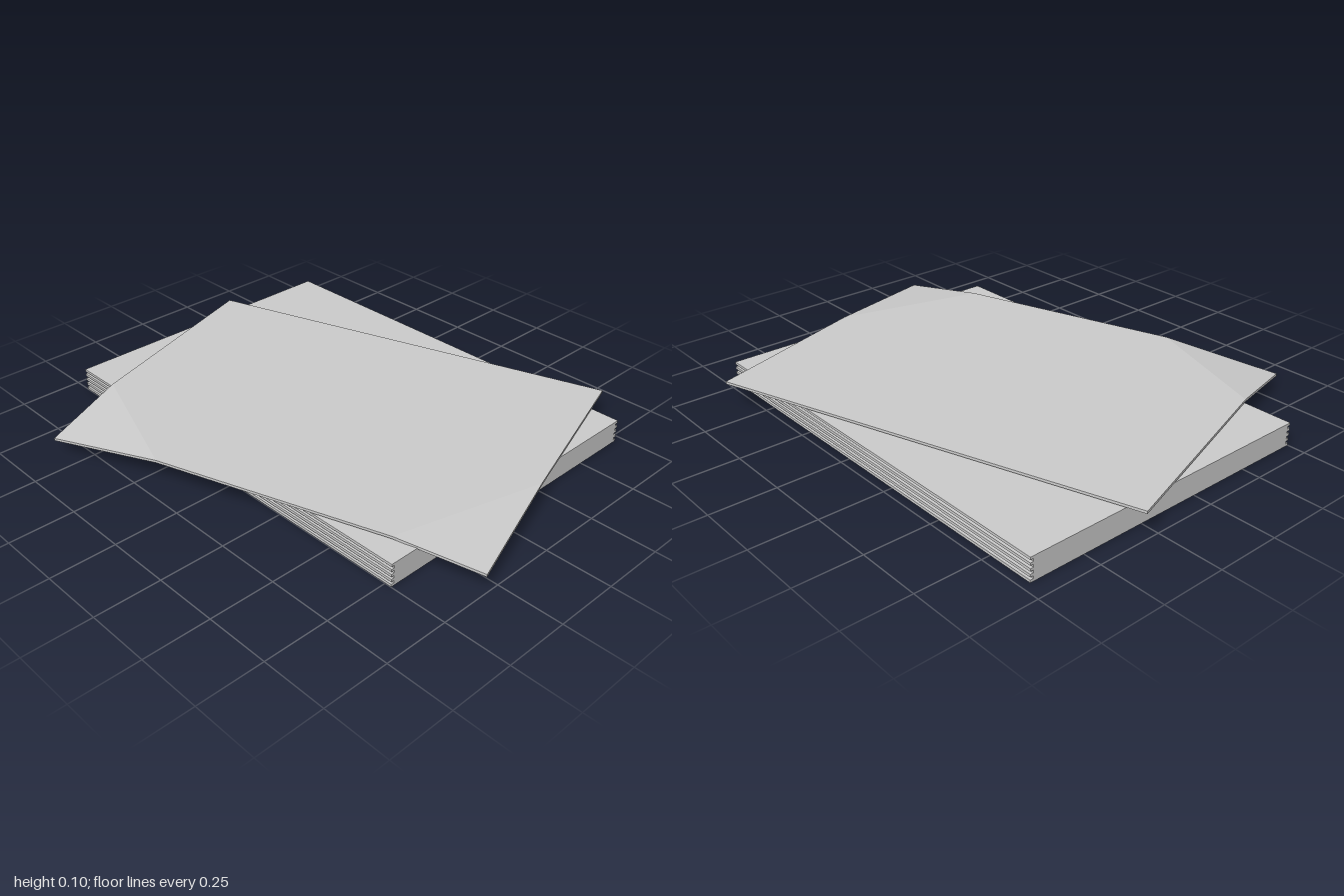
import * as THREE from 'three';

const paper = new THREE.MeshStandardMaterial({ color: 0xcccccc });
paper.name = 'paper grey';

// Loose sheet: flat hexagon plus two drooping corner triangles, with thickness
function looseSheetGeometry(thickness) {
  const rim = [ // x, underside y, z around the edge
    [-0.84, 0.046, -0.62], // drooping back corner
    [-0.50, 0.094, -0.733],
    [0.306, 0.094, -1.0],
    [0.84, 0.094, 0.62],
    [0.17, 0.094, 0.84],
    [-0.31, 0.066, 1.0], // drooping front corner
    [-0.41, 0.094, 0.69],
    [-0.695, 0.094, -0.18],
  ];
  const faces = [[0, 1, 7], [4, 5, 6], [1, 2, 3], [1, 3, 4], [1, 4, 6], [1, 6, 7]];
  const low = (i) => rim[i];
  const high = (i) => [rim[i][0], rim[i][1] + thickness, rim[i][2]];
  const out = [];
  const tri = (a, b, c) => out.push(...a, ...b, ...c);
  for (const [a, b, c] of faces) {
    tri(high(a), high(c), high(b));
    tri(low(a), low(b), low(c));
  }
  rim.forEach((_, i) => {
    const j = (i + 1) % rim.length;
    tri(low(i), high(i), high(j));
    tri(low(i), high(j), low(j));
  });
  const geometry = new THREE.BufferGeometry();
  geometry.setAttribute('position', new THREE.Float32BufferAttribute(out, 3));
  geometry.computeVertexNormals();
  return geometry;
}

export function createModel() {
  const model = new THREE.Group();
  model.name = 'paperStack';

  // Neat pile: wide sheets alternating with slightly narrower ones
  const pile = new THREE.Group();
  pile.name = 'pile';
  const layers = 9, t = 0.01;
  for (let i = 0; i < layers; i++) {
    const width = i % 2 ? 1.192 : 1.216;
    const sheet = new THREE.Mesh(new THREE.BoxGeometry(width, t, 1.705), paper);
    sheet.name = 'sheet' + (i + 1);
    sheet.position.set(0.109, t * (i + 0.5), -0.077);
    pile.add(sheet);
  }
  model.add(pile);

  // Turned sheet lying on top
  const top = new THREE.Mesh(looseSheetGeometry(0.01), paper);
  top.name = 'looseTopSheet';
  model.add(top);

  return model;
}
